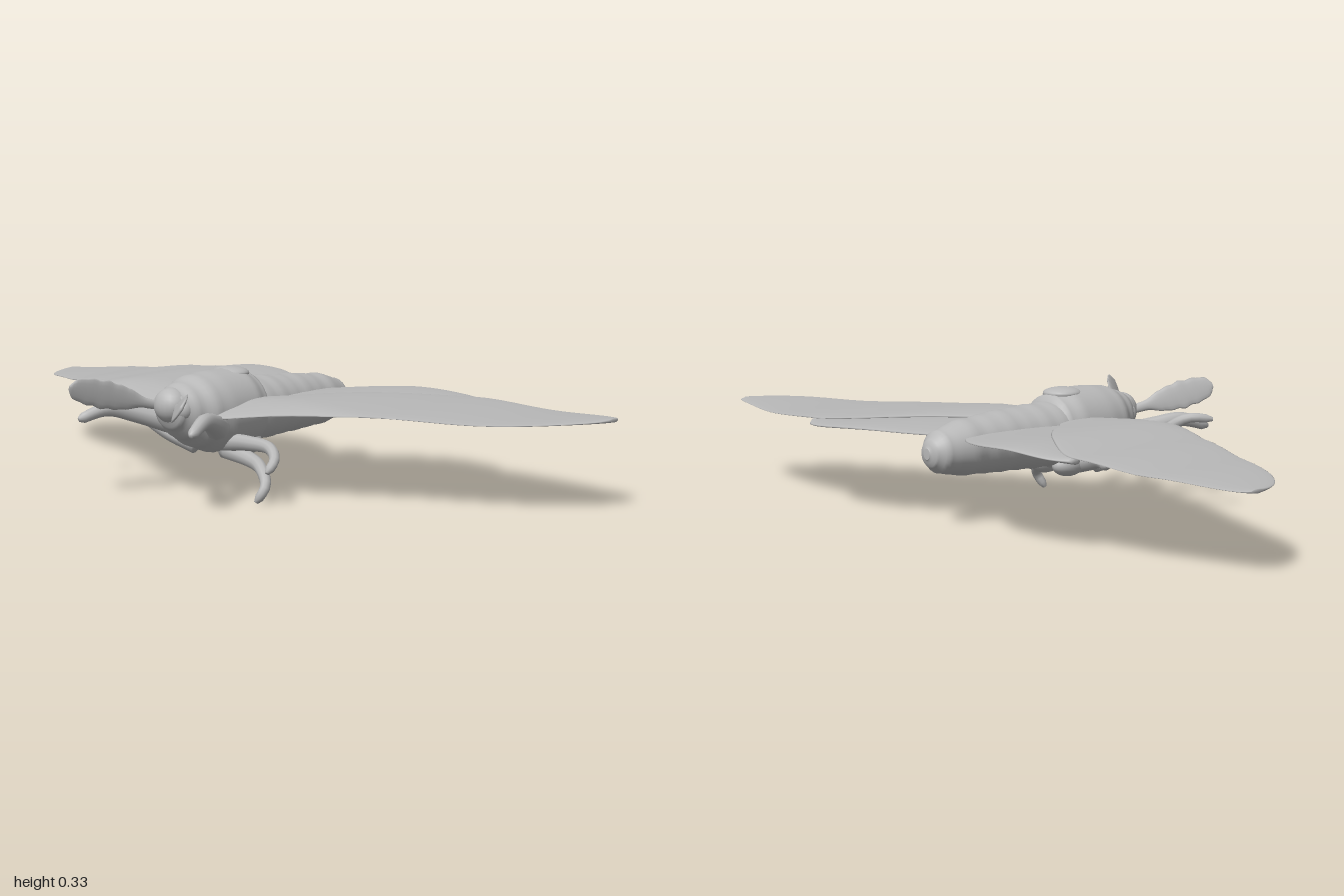
import * as THREE from 'three';

const V = (x, y, z) => new THREE.Vector3(x, y, z);

// Smooth closed skin over a list of equal-length rings, facing outwards.
function loft(rings) {
  const centre = (r) => r.reduce((a, p) => a.add(p), V(0, 0, 0)).divideScalar(r.length);
  const cap = (r) => { const c = centre(r); return r.map(() => c); };
  const all = [cap(rings[0]), ...rings, cap(rings[rings.length - 1])];
  const n = rings[0].length, pts = all.flat(), tris = [];
  for (let i = 0; i < all.length - 1; i++) {
    for (let j = 0; j < n; j++) {
      const k = (j + 1) % n, a = i * n + j, b = i * n + k, c = a + n, d = b + n;
      tris.push([a, b, d], [a, d, c]);
    }
  }
  const volume = tris.reduce((s, [a, b, c]) => s + pts[a].dot(pts[b].clone().cross(pts[c])), 0);
  if (volume < 0) tris.forEach((t) => t.reverse());
  const g = new THREE.BufferGeometry().setFromPoints(pts);
  g.setIndex(tris.flat());
  g.computeVertexNormals();
  return g;
}

// Ellipse with half axes u and v around c.
function ring(c, u, v, n) {
  return Array.from({ length: n }, (_, i) => {
    const a = (i / n) * Math.PI * 2;
    return c.clone().addScaledVector(u, Math.cos(a)).addScaledVector(v, Math.sin(a));
  });
}

// Straight-line lookup in a list of [key, value] pairs.
function lookup(table, k) {
  let i = 0;
  while (i < table.length - 2 && k > table[i + 1][0]) i++;
  const [a, b] = [table[i], table[i + 1]];
  const t = THREE.MathUtils.clamp((k - a[0]) / (b[0] - a[0]), 0, 1);
  return THREE.MathUtils.lerp(a[1], b[1], THREE.MathUtils.smoothstep(t, 0, 1));
}

const leftHeight = [[0, 0.245], [0.25, 0.256], [0.5, 0.246], [0.75, 0.238], [1, 0.248]];
const rightHeight = [[0, 0.245], [0.35, 0.266], [0.55, 0.245], [0.75, 0.225], [1, 0.21]];

// Wing from stations of [x, leading z, trailing z].
function wing(stations, side, drop) {
  const curve = new THREE.CatmullRomCurve3(stations.map((s) => V(...s)), false, 'centripetal');
  const rings = curve.getPoints(44).map(({ x, y: lead, z: trail }) => {
    const base = lookup(side > 0 ? leftHeight : rightHeight, x) - drop;
    const thick = THREE.MathUtils.lerp(0.011, 0.005, x);
    const r = ring(V(side * x, base, (lead + trail) / 2), V(0, 0, (lead - trail) / 2), V(0, thick, 0), 32);
    r.forEach((p) => { p.y -= 0.16 * Math.max(0, p.z - 0.05); });
    return r;
  });
  return loft(rings);
}

// Tapering limb along a smooth path.
function limb(points, r0, r1) {
  const curve = new THREE.CatmullRomCurve3(points.map((p) => V(...p)));
  const n = 20, f = curve.computeFrenetFrames(n);
  return loft(Array.from({ length: n + 1 }, (_, i) => {
    const r = THREE.MathUtils.lerp(r0, r1, i / n) * (i === n ? 0.5 : 1);
    return ring(curve.getPointAt(i / n), f.normals[i].clone().multiplyScalar(r),
      f.binormals[i].clone().multiplyScalar(r), 10);
  }));
}

// Feathery blade from root to tip, with its width along across.
function blade(root, tip, across) {
  const axis = tip.clone().sub(root).normalize();
  const w = across.clone().addScaledVector(axis, -across.dot(axis)).normalize();
  const n = axis.clone().cross(w);
  const widths = [[0, 0.012], [0.18, 0.014], [0.45, 0.034], [0.62, 0.04], [0.85, 0.036], [0.95, 0.027], [1, 0.008]];
  return loft(Array.from({ length: 33 }, (_, i) => {
    const t = i / 32;
    const half = lookup(widths, t) * (1 + (t > 0.4 ? 0.06 * Math.sin(t * 42) : 0));
    return ring(root.clone().lerp(tip, t), w.clone().multiplyScalar(half),
      n.clone().multiplyScalar(0.009 - 0.004 * t), 14);
  }));
}

export function createModel() {
  const group = new THREE.Group();
  const grey = new THREE.MeshStandardMaterial({ color: 0xb8b8b8 });
  grey.name = 'grey';
  const add = (name, geometry) => {
    const mesh = new THREE.Mesh(geometry, grey);
    mesh.name = name;
    group.add(mesh);
    return mesh;
  };
  // Round body sections: [z, centre y, half width, half height]
  const body = (name, sections, ripple) => {
    const key = (i) => sections.map((s) => [s[0], s[i]]);
    const z0 = sections[0][0], z1 = sections[sections.length - 1][0];
    const rings = [];
    for (let i = 0; i <= 48; i++) {
      const z = THREE.MathUtils.lerp(z0, z1, (1 - Math.cos((i / 48) * Math.PI)) / 2);
      const k = 1 + ripple * Math.sin(z * 105);
      rings.push(ring(V(0, lookup(key(1), z), z), V(lookup(key(2), z) * k, 0, 0),
        V(0, lookup(key(3), z) * k, 0), 28));
    }
    return add(name, loft(rings));
  };

  body('abdomen', [[-0.467, 0.2, 0.012, 0.015], [-0.455, 0.2, 0.035, 0.038], [-0.43, 0.202, 0.058, 0.058],
    [-0.35, 0.206, 0.077, 0.075], [-0.2, 0.21, 0.09, 0.084], [-0.08, 0.211, 0.1, 0.089],
    [0.05, 0.215, 0.1, 0.09]], 0.013);
  body('thorax', [[-0.06, 0.21, 0.06, 0.06], [-0.02, 0.218, 0.1, 0.103], [0.03, 0.222, 0.112, 0.113],
    [0.12, 0.222, 0.113, 0.113], [0.18, 0.23, 0.105, 0.1], [0.23, 0.236, 0.08, 0.078],
    [0.27, 0.245, 0.055, 0.056], [0.29, 0.248, 0.03, 0.03]], 0);

  // Head with eyes and a small tuft on the back
  const ball = (name, p, s) => {
    const m = add(name, new THREE.SphereGeometry(1, 20, 14));
    m.position.set(...p);
    m.scale.set(...s);
  };
  ball('head', [0, 0.255, 0.265], [0.05, 0.048, 0.045]);
  ball('backTuft', [0, 0.32, 0.03], [0.055, 0.018, 0.055]);

  const fore = [[0.04, 0.19, -0.02], [0.13, 0.21, -0.11], [0.2, 0.185, -0.2], [0.35, 0.11, -0.35],
    [0.48, 0.05, -0.44], [0.54, 0.02, -0.453], [0.73, -0.06, -0.432], [0.89, -0.145, -0.395],
    [0.96, -0.215, -0.375], [0.99, -0.27, -0.36], [1, -0.31, -0.345]];
  const hind = [[0.03, 0.02, -0.36], [0.1, 0, -0.42], [0.18, -0.09, -0.47], [0.27, -0.2, -0.508],
    [0.38, -0.3, -0.515], [0.47, -0.38, -0.49], [0.52, -0.42, -0.45]];

  for (const side of [1, -1]) {
    const label = side > 0 ? 'left' : 'right';
    add(label + 'Forewing', wing(fore, side, 0));
    add(label + 'Hindwing', wing(hind, side, 0.01));
    ball(label + 'Eye', [side * 0.04, 0.245, 0.255], [0.022, 0.028, 0.026]);
    ball(label + 'Hip', [side * 0.045, 0.125, 0.01], [0.035, 0.032, 0.055]);
    // Front legs reach forwards under the wing roots
    add(label + 'FrontLeg', limb([[side * 0.08, 0.19, 0.17], [side * 0.14, 0.22, 0.26],
      [side * 0.175, 0.235, 0.33], [side * 0.205, 0.212, 0.41]], 0.034, 0.014));
  }

  // Middle and hind legs, posed differently on each side
  add('leftMiddleLeg', limb([[0.04, 0.14, 0.1], [0.15, 0.15, 0.12], [0.24, 0.148, 0.14],
    [0.28, 0.125, 0.17], [0.28, 0.095, 0.2]], 0.026, 0.012));
  add('leftHindLeg', limb([[0.03, 0.115, 0.08], [0.14, 0.1, 0.1], [0.2, 0.088, 0.13],
    [0.245, 0.05, 0.165], [0.23, 0.008, 0.185]], 0.026, 0.012));
  add('rightMiddleLeg', limb([[-0.06, 0.12, 0.1], [-0.15, 0.15, 0.12], [-0.24, 0.2, 0.14],
    [-0.34, 0.268, 0.17], [-0.385, 0.265, 0.225]], 0.026, 0.011));
  add('rightHindLeg', limb([[-0.03, 0.12, 0.06], [-0.12, 0.138, 0.03], [-0.18, 0.15, 0],
    [-0.225, 0.145, -0.02]], 0.026, 0.016));

  // Broad feathery antennae
  add('leftAntenna', blade(V(0.025, 0.25, 0.27), V(0.25, 0.297, 0.495), V(0.35, 0.85, -0.35)));
  add('rightAntenna', blade(V(-0.025, 0.25, 0.27), V(-0.14, 0.315, 0.505), V(0.25, 0.95, 0.05)));

  return group;
}
